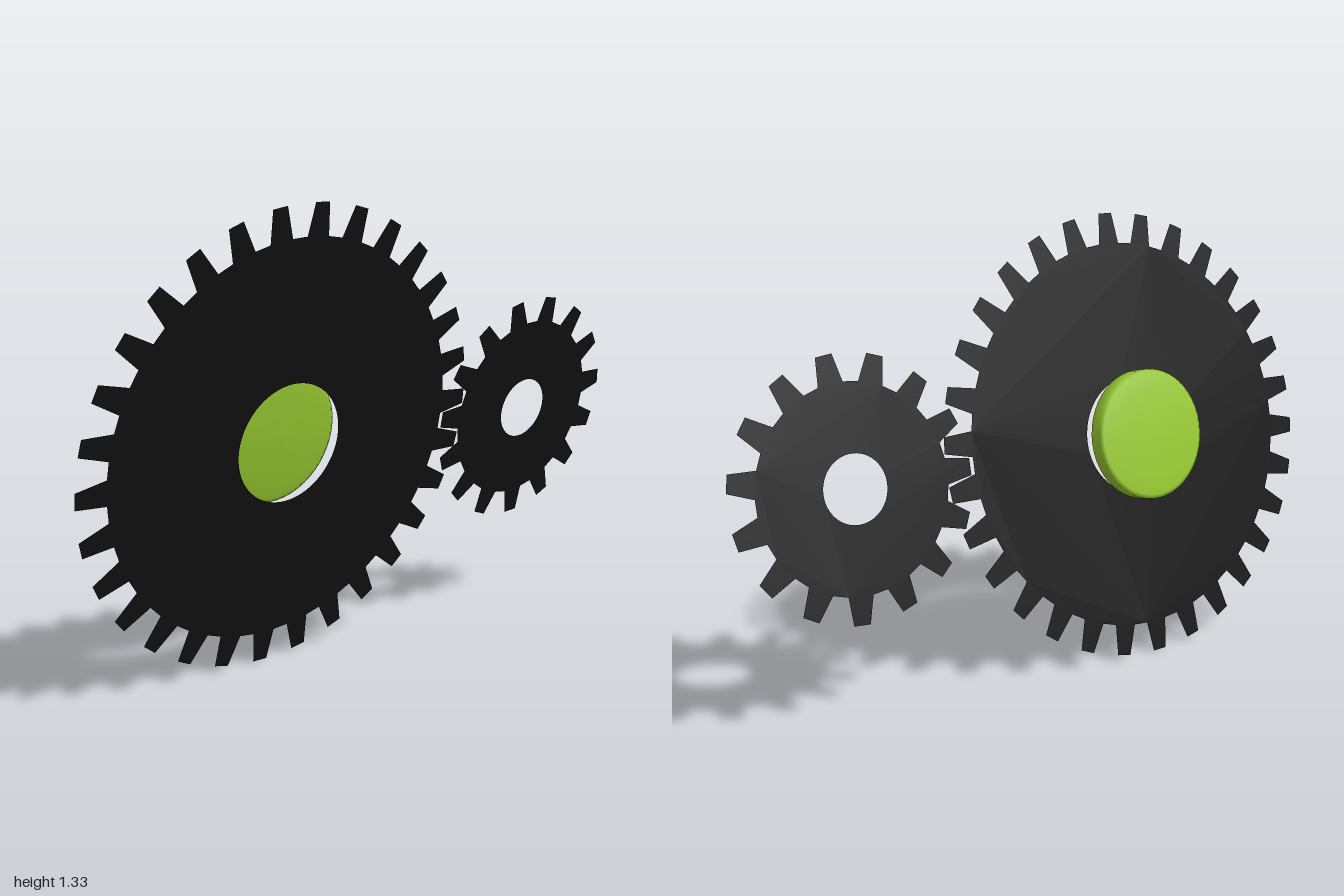
import * as THREE from 'three';

// Flat gear sheet: teeth measured clockwise from the top, round hole in the middle
function gearGeometry({ teeth, root, tip, hole, rootHalf, tipHalf, phase = 0 }) {
  const shape = new THREE.Shape();
  const corners = [[root, -rootHalf], [tip, -tipHalf], [tip, tipHalf], [root, rootHalf]];
  for (let i = 0; i < teeth; i++) {
    const mid = phase + (i / teeth) * Math.PI * 2;
    corners.forEach(([r, half], k) => {
      const a = mid + half / r;
      const x = Math.sin(a) * r, y = Math.cos(a) * r;
      if (i === 0 && k === 0) shape.moveTo(x, y);
      else shape.lineTo(x, y);
    });
  }
  shape.closePath();
  const opening = new THREE.Path();
  opening.absarc(0, 0, hole, 0, Math.PI * 2, true);
  shape.holes.push(opening);
  return new THREE.ShapeGeometry(shape, 32);
}

export function createModel() {
  const model = new THREE.Group();
  model.name = 'gearPair';

  const black = new THREE.MeshStandardMaterial({ color: 0x111111, side: THREE.DoubleSide });
  const green = new THREE.MeshStandardMaterial({ color: 0x9acd32 });

  // Tilted plane shared by both gears, origin at the large gear's centre
  const plane = new THREE.Group();
  plane.name = 'tiltedGears';
  plane.position.set(-0.325, 0.664, -0.01);
  plane.rotation.set(0.22, -0.088, 0, 'YXZ');
  model.add(plane);

  const add = (name, geometry, material, x = 0, z = 0) => {
    const mesh = new THREE.Mesh(geometry, material);
    mesh.name = name;
    mesh.position.set(x, 0, z);
    plane.add(mesh);
  };

  add('largeGear', gearGeometry({
    teeth: 30, root: 0.588, tip: 0.68, hole: 0.176, rootHalf: 0.037, tipHalf: 0.024,
  }), black);

  add('smallGear', gearGeometry({
    teeth: 15, root: 0.292, tip: 0.37, hole: 0.097, rootHalf: 0.038, tipHalf: 0.025,
    phase: THREE.MathUtils.degToRad(6),
  }), black, 0.969);

  // Hub button behind the large gear's hole: short rim with shallow domed faces
  const half = [[0.197, 0.02], [0.185, 0.024], [0.14, 0.028], [0.07, 0.031], [0, 0.032]];
  const profile = [
    ...half.map(([r, h]) => new THREE.Vector2(r, -h)).reverse(),
    ...half.map(([r, h]) => new THREE.Vector2(r, h)),
  ];
  const hub = new THREE.LatheGeometry(profile, 48);
  hub.rotateX(Math.PI / 2);
  add('hubButton', hub, green, 0, -0.07);

  return model;
}
